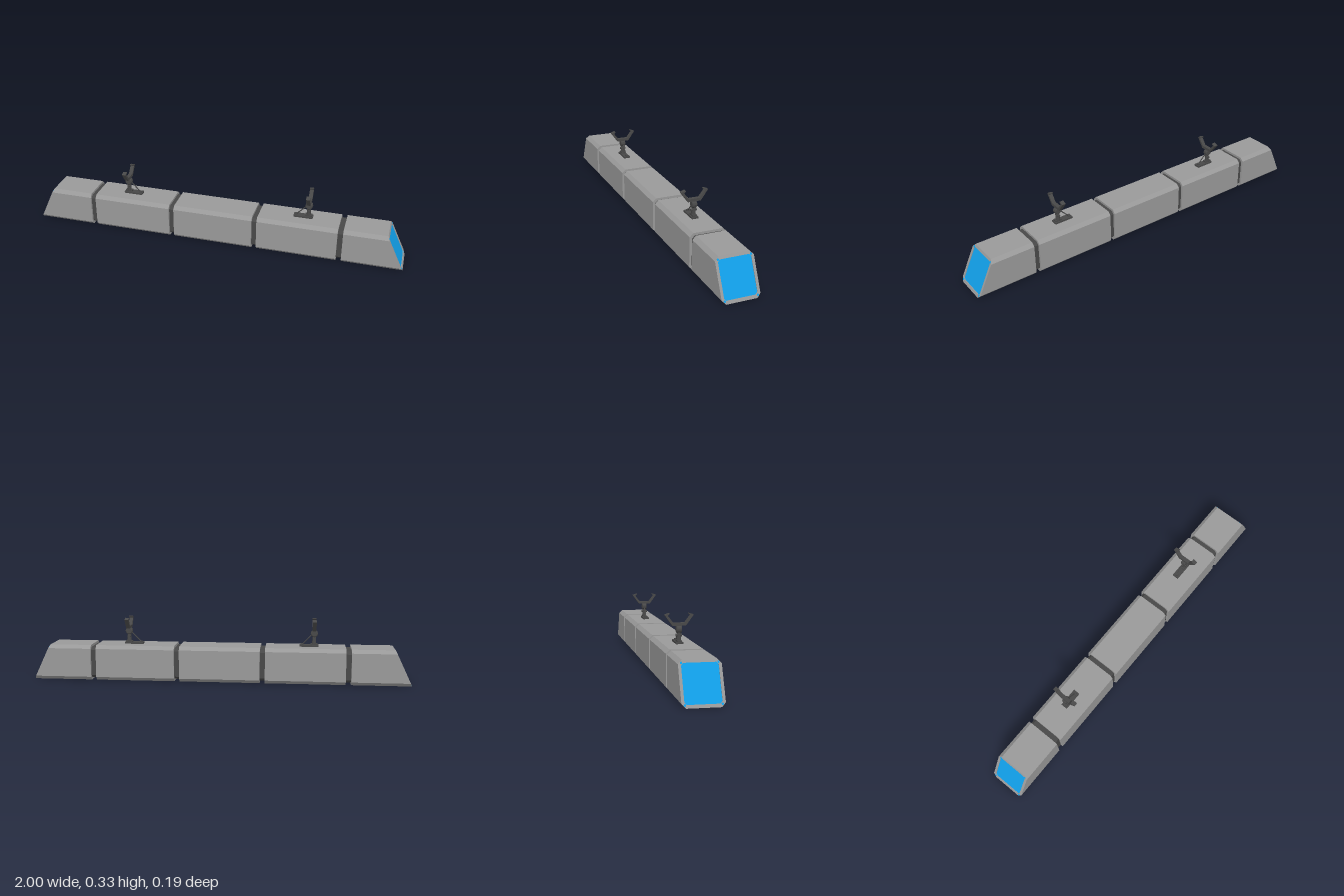
import * as THREE from 'three';

const mat = (color) => new THREE.MeshStandardMaterial({ color, flatShading: true });
const H = 0.188;          // body height
const SLOPE = 0.09 / H;   // lean of the end faces

// Square with cut corners, centred on half the body height
function octagon(half, chamfer, Type = THREE.Shape) {
  const a = half, b = half - chamfer, c = H / 2;
  return new Type([[a, -b], [a, b], [b, a], [-b, a], [-a, b], [-a, -b], [-b, -a], [b, -a]]
    .map(([x, y]) => new THREE.Vector2(x, y + c)));
}

// Prism along x; the far (and optionally near) end leans with the nose
function prism(shape, x0, x1, leanNear = false, leanFar = false) {
  const g = new THREE.ExtrudeGeometry(shape, { depth: x1 - x0, bevelEnabled: false, curveSegments: 10 });
  g.rotateY(Math.PI / 2).translate(x0, 0, 0);
  const p = g.attributes.position;
  const mid = (x0 + x1) / 2;
  for (let i = 0; i < p.count; i++) {
    if (p.getX(i) > mid ? leanFar : leanNear) p.setX(i, p.getX(i) - SLOPE * p.getY(i));
  }
  g.computeVertexNormals();
  return g;
}

export function createModel() {
  const model = new THREE.Group();
  const grey = mat(0x999999), dark = mat(0x484848), blue = mat(0x119fe8);

  const add = (parent, name, geometry, material, x = 0, y = 0, z = 0) => {
    const m = new THREE.Mesh(geometry, material);
    m.name = name;
    m.position.set(x, y, z);
    parent.add(m);
    return m;
  };

  // Three middle cars
  const hull = octagon(0.094, 0.018);
  for (const [x0, x1] of [[-0.66, -0.24], [-0.213, 0.213], [0.24, 0.66]]) {
    add(model, 'middleCar', prism(hull, x0, x1), grey);
  }

  // Dark gangways between cars
  for (const x of [-0.674, -0.2265, 0.2265, 0.674]) {
    add(model, 'gangway', prism(octagon(0.082, 0.014), x - 0.02, x + 0.02), dark, 0, 0, 0);
  }

  // End cars with a framed, recessed window and corner lamps
  for (const side of [1, -1]) {
    const car = new THREE.Group();
    car.name = side > 0 ? 'leftEndCar' : 'rightEndCar';
    car.rotation.y = side > 0 ? 0 : Math.PI;
    add(car, 'endBody', prism(hull, 0.688, 0.994, false, true), grey);
    const rim = octagon(0.094, 0.018);
    rim.holes.push(octagon(0.081, 0.01, THREE.Path));
    add(car, 'windowFrame', prism(rim, 0.994, 1.0, true, true), grey);
    add(car, 'windowPane', prism(octagon(0.081, 0.01), 0.992, 0.996, true, true), blue);
    for (const sy of [-1, 1]) for (const sz of [-1, 1]) {
      const lamp = new THREE.Shape();
      lamp.absarc(sz * 0.08, H / 2 + sy * 0.081, 0.005, 0, Math.PI * 2);
      add(car, 'cornerLamp', prism(lamp, 0.996, 1.001, true, true), blue);
    }
    model.add(car);
  }

  // Current collectors on the roof; each foot reaches toward +x in its own frame
  const armPoints = [[0, 0.273], [0.032, 0.273], [0.07, 0.325], [0.046, 0.333],
    [0.046, 0.328], [0.054, 0.321], [0.028, 0.287], [0, 0.287]];
  const outline = [...armPoints, ...armPoints.slice(1, -1).reverse().map(([x, y]) => [-x, y])];
  const forkShape = new THREE.Shape(outline.map(([x, y]) => new THREE.Vector2(x, y)));

  for (const side of [-1, 1]) {
    const rig = new THREE.Group();
    rig.name = side > 0 ? 'leftCollector' : 'rightCollector';
    rig.position.x = side * 0.495;
    rig.rotation.y = side > 0 ? Math.PI : 0;

    add(rig, 'footPlate', new THREE.BoxGeometry(0.1, 0.01, 0.034), dark, 0.027, 0.192, 0);
    add(rig, 'footBlock', new THREE.BoxGeometry(0.036, 0.01, 0.022), dark, 0, 0.2, 0);
    add(rig, 'neck', new THREE.CylinderGeometry(0.009, 0.012, 0.05, 10), dark, 0, 0.222, 0);
    add(rig, 'pivot', new THREE.CylinderGeometry(0.007, 0.007, 0.03, 10).rotateX(Math.PI / 2), dark, 0, 0.228, 0);

    // Round drum with bevelled rims, lying across the train
    const drum = new THREE.LatheGeometry([[0, -0.013], [0.015, -0.013], [0.019, -0.009],
      [0.019, 0.009], [0.015, 0.013], [0, 0.013]].map(([r, h]) => new THREE.Vector2(r, h)), 12);
    add(rig, 'drum', drum.rotateX(Math.PI / 2), dark, 0, 0.257, 0);
    add(rig, 'forkMount', new THREE.BoxGeometry(0.014, 0.016, 0.016), dark, 0, 0.275, 0);
    add(rig, 'fork', prism(forkShape, -0.01, 0.01), dark);

    // Slanted brace from drum to foot
    const brace = new THREE.LineCurve3(new THREE.Vector3(0.008, 0.256, 0), new THREE.Vector3(0.066, 0.196, 0));
    add(rig, 'brace', new THREE.TubeGeometry(brace, 1, 0.003, 6), dark);
    add(rig, 'braceFoot', new THREE.BoxGeometry(0.014, 0.008, 0.014), dark, 0.064, 0.199, 0);
    model.add(rig);
  }
  return model;
}
